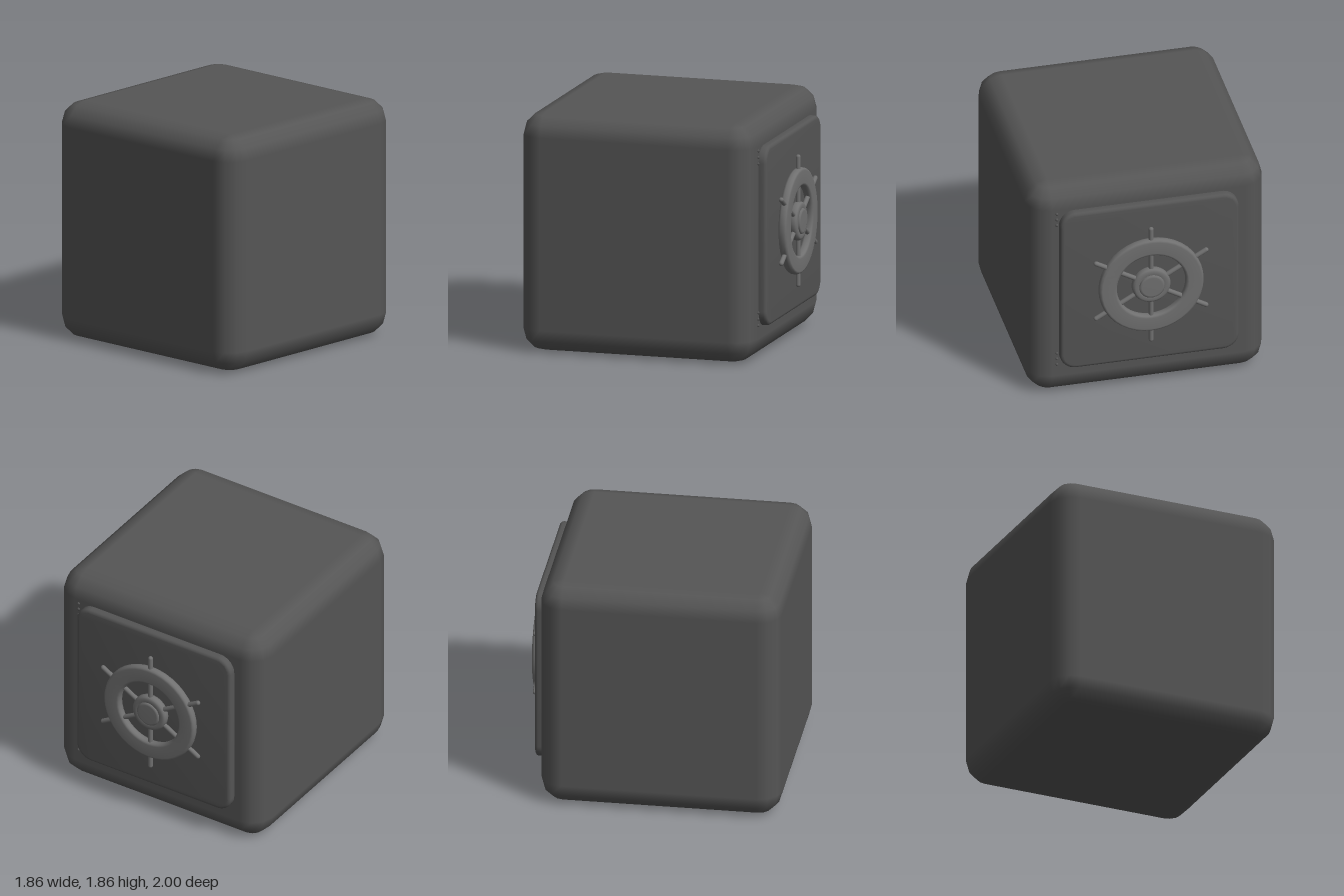
import * as THREE from 'three';
import { toCreasedNormals } from 'three/addons/utils/BufferGeometryUtils.js';

const bodyMat = new THREE.MeshStandardMaterial({ color: 0x555555 });
const wheelMat = new THREE.MeshStandardMaterial({ color: 0x707070 });

function add(parent, name, geometry, material) {
  const mesh = new THREE.Mesh(geometry, material);
  mesh.name = name;
  parent.add(mesh);
  return mesh;
}

// Cube with rounded edges, three facets per quarter turn: rings of corner arcs, closed by flat caps
function roundedCube(half, r) {
  const geo = new THREE.PlaneGeometry(1, 1, 16, 9);
  const pos = geo.attributes.position, nor = geo.attributes.normal;
  const inner = half - r;
  for (let row = 0; row < 10; row++) {
    const cap = row === 0 || row === 9;
    const step = THREE.MathUtils.clamp(row, 1, 8) - 1;
    const upper = step < 4;
    const phi = (upper ? 3 - step : 4 - step) * Math.PI / 6;
    for (let col = 0; col < 17; col++) {
      const i = row * 17 + col, corner = Math.floor(col / 4);
      const theta = corner * Math.PI / 2 + (col % 4) * Math.PI / 6;
      const mid = corner * Math.PI / 2 + Math.PI / 4;
      const n = new THREE.Vector3(Math.cos(phi) * Math.sin(theta), Math.sin(phi), Math.cos(phi) * Math.cos(theta));
      const cx = cap ? 0 : inner * Math.sign(Math.sin(mid));
      const cz = cap ? 0 : inner * Math.sign(Math.cos(mid));
      pos.setXYZ(i, cx + r * n.x, (upper ? inner : -inner) + r * n.y, cz + r * n.z);
      nor.setXYZ(i, n.x, n.y, n.z);
    }
  }
  return geo;
}

// Plate with rounded corners and a softened rim, facing +z
function roundedPlate(half, r, depth, bevel) {
  const h = half - bevel, c = h - r;
  const s = new THREE.Shape();
  s.absarc(c, c, r, 0, Math.PI / 2);
  s.absarc(-c, c, r, Math.PI / 2, Math.PI);
  s.absarc(-c, -c, r, Math.PI, Math.PI * 1.5);
  s.absarc(c, -c, r, Math.PI * 1.5, Math.PI * 2);
  const geo = new THREE.ExtrudeGeometry(s, {
    depth, bevelSize: bevel, bevelThickness: bevel, bevelSegments: 3, curveSegments: 6,
  });
  return toCreasedNormals(geo, 0.7);
}

// Flat ring with rounded edges, turned about z, from z = 0 to z = height
function ring(inner, outer, height, b) {
  const profile = [
    [outer - b, 0], [outer - b * 0.3, b * 0.3], [outer, b], [outer, height - b],
    [outer - b * 0.3, height - b * 0.3], [outer - b, height], [inner + b, height],
    [inner + b * 0.3, height - b * 0.3], [inner, height - b], [inner, b],
    [inner + b * 0.3, b * 0.3], [inner + b, 0], [outer - b, 0],
  ].map(([x, y]) => new THREE.Vector2(x, y));
  return new THREE.LatheGeometry(profile, 40).rotateX(Math.PI / 2);
}

export function createModel() {
  const model = new THREE.Group();
  model.name = 'safe';

  add(model, 'body', roundedCube(0.93, 0.18), bodyMat).position.set(0, 0.93, 0.07);

  // Door and wheel are built facing +z and turned to the back
  const door = new THREE.Group();
  door.name = 'door';
  door.position.set(0, 0.965, 0);
  door.rotation.y = Math.PI;
  model.add(door);
  add(door, 'doorPanel', roundedPlate(0.7, 0.1, 0.05, 0.025), bodyMat).position.z = 0.845;

  // Small hinge rivets beside the door corners
  for (const side of [-1, 1]) {
    for (const y of [0.58, 0.63, 0.68]) {
      const rivet = new THREE.SphereGeometry(0.012, 8, 6);
      add(door, 'rivet', rivet, bodyMat).position.set(-0.715, side * y, 0.86);
    }
  }

  const wheel = new THREE.Group();
  wheel.name = 'wheel';
  wheel.position.z = 0.92;
  door.add(wheel);
  add(wheel, 'rim', ring(0.27, 0.41, 0.068, 0.022), wheelMat);
  add(wheel, 'hubRing', ring(0.08, 0.15, 0.068, 0.022), wheelMat);

  // Hub button with a slightly softened face
  const button = [[0.1, 0], [0.1, 0.07], [0.092, 0.078], [0.08, 0.08], [0, 0.08]]
    .map(([x, y]) => new THREE.Vector2(x, y));
  add(wheel, 'hubButton', new THREE.LatheGeometry(button, 32).rotateX(Math.PI / 2), wheelMat);

  // Spokes run through the rim and end as round-tipped handles
  for (let i = 0; i < 6; i++) {
    const spoke = new THREE.Group();
    spoke.name = 'spoke';
    spoke.rotation.z = i * Math.PI / 3;
    wheel.add(spoke);
    const rod = new THREE.CapsuleGeometry(0.019, 0.38, 4, 12);
    add(spoke, 'spokeRod', rod, wheelMat).position.set(0, 0.307, 0.035);
  }
  return model;
}
